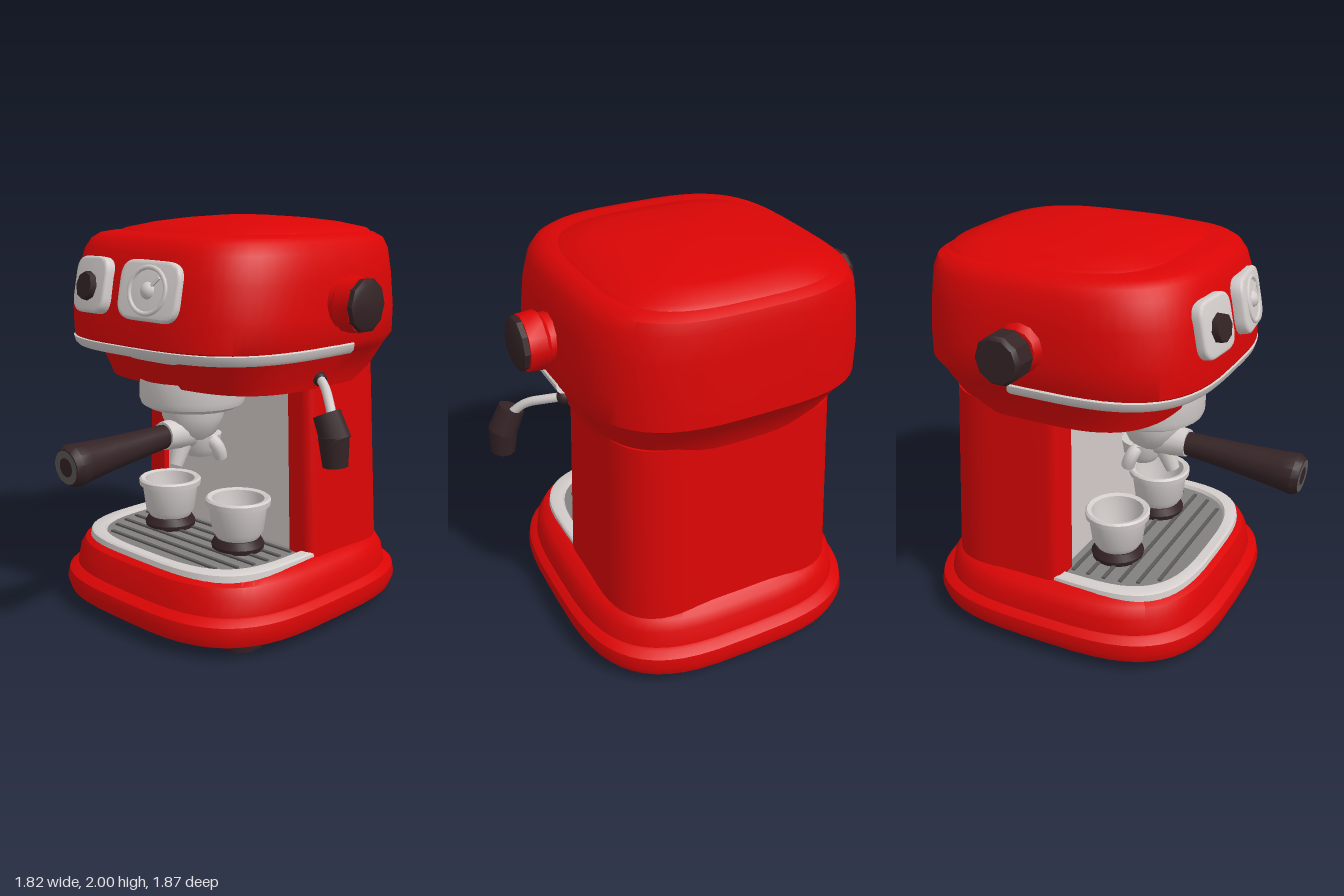
import * as THREE from 'three';
import { toCreasedNormals } from 'three/addons/utils/BufferGeometryUtils.js';

const mat = (name, color, side = THREE.FrontSide) => {
  const m = new THREE.MeshStandardMaterial({ color, side });
  m.name = name;
  return m;
};

// Stacked superellipse sections [y, halfWidth, zBack, zFront], optionally an open arc
function loft(rows, { n = 3.3, seg = 56, cap = true, from = 0, to = Math.PI * 2, crease = 0.6 } = {}) {
  const pos = [], idx = [], w = seg + 1;
  const pw = (v) => Math.sign(v) * Math.abs(v) ** (2 / n);
  for (const [y, hw, zb, zf] of rows) {
    for (let j = 0; j <= seg; j++) {
      const t = from + (to - from) * j / seg;
      pos.push(hw * pw(Math.cos(t)), y, (zb + zf) / 2 + (zf - zb) / 2 * pw(Math.sin(t)));
    }
  }
  for (let i = 0; i < rows.length - 1; i++) {
    for (let j = 0; j < seg; j++) {
      const a = i * w + j, c = a + w;
      idx.push(a, c, a + 1, a + 1, c, c + 1);
    }
  }
  if (cap) {
    const last = rows.length - 1, b = pos.length / 3;
    for (const r of [rows[0], rows[last]]) pos.push(0, r[0], (r[2] + r[3]) / 2);
    for (let j = 0; j < seg; j++) {
      idx.push(b, j, j + 1, b + 1, last * w + j + 1, last * w + j);
    }
  }
  const g = new THREE.BufferGeometry();
  g.setAttribute('position', new THREE.Float32BufferAttribute(pos, 3));
  g.setIndex(idx);
  return toCreasedNormals(g, crease);
}

const lathe = (pts, seg = 24) =>
  toCreasedNormals(new THREE.LatheGeometry(pts.map((p) => new THREE.Vector2(...p)), seg), 0.6);

// Soft-cornered plate facing +z
function plate(w, h, r) {
  const x = w / 2, y = h / 2, s = new THREE.Shape();
  s.moveTo(-x + r, -y).lineTo(x - r, -y).quadraticCurveTo(x, -y, x, -y + r);
  s.lineTo(x, y - r).quadraticCurveTo(x, y, x - r, y);
  s.lineTo(-x + r, y).quadraticCurveTo(-x, y, -x, y - r);
  s.lineTo(-x, -y + r).quadraticCurveTo(-x, -y, -x + r, -y);
  const g = new THREE.ExtrudeGeometry(s, { depth: 0.04, bevelSize: 0.015, bevelOffset: -0.015,
    bevelThickness: 0.015, bevelSegments: 3, curveSegments: 8 });
  return toCreasedNormals(g.translate(0, 0, -0.025), 0.6);
}

// U-shaped column: rounded back corners, two front posts, tapering upwards
function columnGeometry() {
  const s = new THREE.Shape();
  s.moveTo(-0.465, 0.13).lineTo(0.465, 0.13).lineTo(0.465, 0.08).lineTo(0.55, 0.08);
  s.quadraticCurveTo(0.61, 0.08, 0.61, 0.15).lineTo(0.61, 0.44);
  s.quadraticCurveTo(0.61, 0.79, 0.28, 0.79).lineTo(-0.28, 0.79);
  s.quadraticCurveTo(-0.61, 0.79, -0.61, 0.44).lineTo(-0.61, 0.15);
  s.quadraticCurveTo(-0.61, 0.08, -0.55, 0.08).lineTo(-0.465, 0.08).closePath();
  const g = new THREE.ExtrudeGeometry(s, { depth: 0.92, bevelEnabled: false, curveSegments: 12, steps: 4 });
  g.rotateX(-Math.PI / 2).translate(0, 0.33, 0);
  const p = g.attributes.position;
  for (let i = 0; i < p.count; i++) {
    const k = 1 - 0.06 * (p.getY(i) - 0.33) / 0.92;
    p.setXYZ(i, p.getX(i) * k, p.getY(i), p.getZ(i) * k);
  }
  return toCreasedNormals(g, 0.6);
}

export function createModel() {
  const root = new THREE.Group();
  root.name = 'espressoMachine';
  const red = mat('red enamel', 0xdb0505);
  const metal = mat('light metal', 0xd3cdcb, THREE.DoubleSide);
  const panelGrey = mat('panel grey', 0xd6cdcb);
  const trayGrey = mat('tray grey', 0x82807e);
  const ribGrey = mat('rib grey', 0x5c5a58);
  const brown = mat('dark brown', 0x342325);
  const add = (name, geo, material, p = [0, 0, 0], r = [0, 0, 0], parent = root) => {
    const m = new THREE.Mesh(geo, material);
    m.name = name;
    m.position.set(...p);
    m.rotation.set(...r);
    parent.add(m);
    return m;
  };
  const mid = [-0.015, 0, 0]; // body axis

  // Stepped base and feet
  add('base', loft([
    [0.05, 0.69, -0.88, 0.59], [0.07, 0.725, -0.92, 0.625], [0.12, 0.742, -0.935, 0.64],
    [0.17, 0.735, -0.925, 0.63], [0.195, 0.71, -0.89, 0.595], [0.2, 0.70, -0.875, 0.585],
    [0.28, 0.69, -0.855, 0.57], [0.33, 0.66, -0.83, 0.55], [0.36, 0.60, -0.79, 0.50],
  ]), red, mid);
  for (const x of [-0.525, 0.495]) {
    for (const z of [0.3, -0.64]) {
      add('foot', new THREE.CylinderGeometry(0.12, 0.11, 0.06, 10), brown, [x, 0.03, z]).scale.x = 0.75;
    }
  }

  // Column and back panel
  add('column', columnGeometry(), red, mid);
  add('backPanel', new THREE.BoxGeometry(0.95, 0.86, 0.03), panelGrey, [-0.015, 0.79, -0.127]);

  // Head, lid and trim band
  add('head', loft([
    [1.2, 0.582, -0.745, 0.36], [1.25, 0.595, -0.765, 0.38], [1.36, 0.645, -0.835, 0.42],
    [1.365, 0.655, -0.84, 0.53], [1.42, 0.685, -0.885, 0.57], [1.55, 0.69, -0.88, 0.57],
    [1.72, 0.675, -0.865, 0.54], [1.84, 0.65, -0.855, 0.505], [1.89, 0.62, -0.84, 0.475],
    [1.915, 0.58, -0.80, 0.44], [1.925, 0.53, -0.76, 0.38],
  ]), red, mid);
  add('lid', loft([
    [1.91, 0.56, -0.80, 0.33], [1.935, 0.53, -0.78, 0.3], [1.965, 0.40, -0.66, 0.17],
    [1.985, 0.26, -0.50, 0.02], [1.998, 0.1, -0.32, -0.14],
  ], { crease: 1 }), red, mid);
  add('trimBand', loft([
    [1.362, 0.64, -0.85, 0.5], [1.364, 0.672, -0.86, 0.55], [1.38, 0.686, -0.88, 0.565],
    [1.41, 0.691, -0.885, 0.573], [1.418, 0.68, -0.88, 0.55],
  ], { cap: false, from: -0.04, to: Math.PI + 0.04 }), metal, mid);
  add('underLip', loft([[1.325, 0.21, 0.1, 0.42], [1.365, 0.26, 0.1, 0.45]], { n: 4 }), metal, [-0.01, 0, 0]);

  // Selector plate and gauge on the face
  const selector = new THREE.Group();
  selector.name = 'selector';
  selector.position.set(-0.265, 1.68, 0.545);
  selector.rotation.set(-0.2, -0.12, 0);
  root.add(selector);
  add('selectorPlate', plate(0.27, 0.27, 0.08), metal, [0, 0, 0], [0, 0, 0], selector);
  add('selectorKnob', new THREE.CylinderGeometry(0.065, 0.075, 0.06, 8), brown, [0, -0.01, 0.03], [Math.PI / 2, 0, 0], selector);
  const gauge = new THREE.Group();
  gauge.name = 'gauge';
  gauge.position.set(0.148, 1.678, 0.55);
  gauge.rotation.set(-0.2, 0.14, 0);
  root.add(gauge);
  add('gaugePlate', plate(0.35, 0.275, 0.09), metal, [0, 0, 0], [0, 0, 0], gauge);
  add('gaugeRing', new THREE.TorusGeometry(0.105, 0.012, 8, 24), metal, [0, 0, 0.028], [0, 0, 0], gauge);
  add('gaugeHub', new THREE.SphereGeometry(0.045, 12, 8), metal, [0, 0, 0.01], [0, 0, 0], gauge);
  add('gaugeNeedle', new THREE.BoxGeometry(0.015, 0.09, 0.012), metal, [0.03, 0.03, 0.032], [0, 0, -0.8], gauge);

  // Side knobs, turned about the x axis
  const out = [0, 0, -Math.PI / 2];
  add('leftKnobMount', lathe([[0.12, 0], [0.115, 0.06], [0.135, 0.08], [0.13, 0.16], [0, 0.16]], 12), red, [0.63, 1.61, -0.17], out);
  add('leftKnobCap', lathe([[0.125, 0], [0.125, 0.03], [0.1, 0.045], [0, 0.045]], 10), brown, [0.785, 1.61, -0.165], out);
  const inw = [0, 0, Math.PI / 2];
  add('rightKnobMount', lathe([[0.1, 0], [0.095, 0.06], [0.115, 0.075], [0.09, 0.105], [0, 0.105]], 12), red, [-0.64, 1.61, -0.17], inw);
  add('rightKnobShaft', new THREE.CylinderGeometry(0.045, 0.045, 0.06, 10), metal, [-0.755, 1.61, -0.17], inw);
  add('rightKnob', lathe([[0, 0], [0.09, 0], [0.115, 0.025], [0.115, 0.12], [0.1, 0.14], [0, 0.14]], 10), brown, [-0.768, 1.61, -0.17], inw);

  // Brew group, filter basket and spouts
  add('brewGroup', lathe([[0, 1.07], [0.22, 1.07], [0.255, 1.09], [0.265, 1.12], [0.265, 1.22]], 28), metal, [-0.015, 0, 0.14]);
  add('filterBasket', lathe([[0, 0.91], [0.09, 0.91], [0.12, 0.94], [0.155, 1.02], [0.16, 1.08]], 24), metal, [-0.015, 0, 0.14]);
  add('filterCollar', new THREE.CylinderGeometry(0.07, 0.085, 0.16, 14), metal, [-0.015, 0.945, 0.26], [Math.PI / 2, 0, 0]);
  add('spoutBowl', lathe([[0, 0.8], [0.07, 0.81], [0.1, 0.85], [0.11, 0.92], [0, 0.93]], 18), metal, [-0.015, 0, 0.09]);
  for (const s of [-1, 1]) {
    const path = new THREE.QuadraticBezierCurve3(new THREE.Vector3(-0.015, 0.9, 0.1),
      new THREE.Vector3(-0.015 + s * 0.14, 0.92, 0.1), new THREE.Vector3(-0.015 + s * 0.115, 0.81, 0.06));
    add('sideSpout', new THREE.TubeGeometry(path, 10, 0.035, 10), metal);
  }
  add('frontSpout', new THREE.CylinderGeometry(0.055, 0.035, 0.15, 12), metal, [-0.015, 0.85, 0.23], [-0.4, 0, 0]);
  const handle = new THREE.Group();
  handle.name = 'filterHandle';
  handle.position.set(-0.015, 0.945, 0.3);
  handle.rotation.x = Math.PI / 2 + 0.065;
  root.add(handle);
  add('handleGrip', lathe([[0, 0], [0.058, 0], [0.065, 0.15], [0.08, 0.38], [0.095, 0.54],
    [0.102, 0.6], [0.085, 0.632], [0, 0.632]], 14), brown, [0, 0, 0], [0, 0, 0], handle);
  add('handleEndRing', new THREE.RingGeometry(0.045, 0.08, 18), ribGrey, [0, 0.634, 0], [-Math.PI / 2, 0, 0], handle);

  // Drip tray with ribs running across it
  const tray = { zb: -0.5, zf: 0.45, hw: 0.53 };
  add('trayRim', loft([[0.34, 0.605, -0.5, 0.52], [0.375, 0.6, -0.5, 0.515], [0.382, 0.59, -0.5, 0.505],
    [0.382, 0.54, -0.5, 0.46], [0.362, 0.53, -0.5, 0.45]], { cap: false }), metal, mid);
  add('trayFloor', loft([[0.35, 0.535, -0.5, 0.455], [0.364, 0.535, -0.5, 0.455]]), trayGrey, mid);
  for (let i = 0; i < 6; i++) {
    const z = -0.06 + i * 0.085;
    const u = Math.abs((z - (tray.zb + tray.zf) / 2) / ((tray.zf - tray.zb) / 2));
    const half = tray.hw * (1 - u ** 3.3) ** (1 / 3.3) - 0.04;
    add('trayRib', new THREE.BoxGeometry(half * 2, 0.012, 0.018), ribGrey, [-0.015, 0.367, z]);
  }

  // Cups on dark stands
  for (const x of [-0.265, 0.235]) {
    add('cupStand', lathe([[0, 0.365], [0.13, 0.365], [0.135, 0.39], [0.115, 0.425], [0, 0.425]]), brown, [x, 0, 0.07]);
    add('cup', lathe([[0, 0.42], [0.105, 0.42], [0.13, 0.46], [0.147, 0.59], [0.163, 0.595], [0.165, 0.622],
      [0.155, 0.632], [0.132, 0.625], [0.125, 0.56], [0.1, 0.46], [0, 0.45]]), metal, [x, 0, 0.07]);
  }

  // Steam wand with its grip
  add('wandJoint', new THREE.SphereGeometry(0.035, 12, 8), brown, [0.59, 1.25, -0.11]);
  const wand = new THREE.CatmullRomCurve3([[0.58, 1.255, -0.12], [0.66, 1.23, -0.06], [0.74, 1.19, 0.01],
    [0.82, 1.1, 0.07]].map((p) => new THREE.Vector3(...p)));
  add('steamWand', new THREE.TubeGeometry(wand, 16, 0.022, 10), metal);
  add('wandGripTop', new THREE.CylinderGeometry(0.065, 0.072, 0.13, 9), brown, [0.815, 1.085, 0.08], [0, 0, 0.45]);
  add('wandGrip', new THREE.CylinderGeometry(0.072, 0.058, 0.14, 9), brown, [0.84, 0.98, 0.085], [0, 0, 0.1]);

  return root;
}
